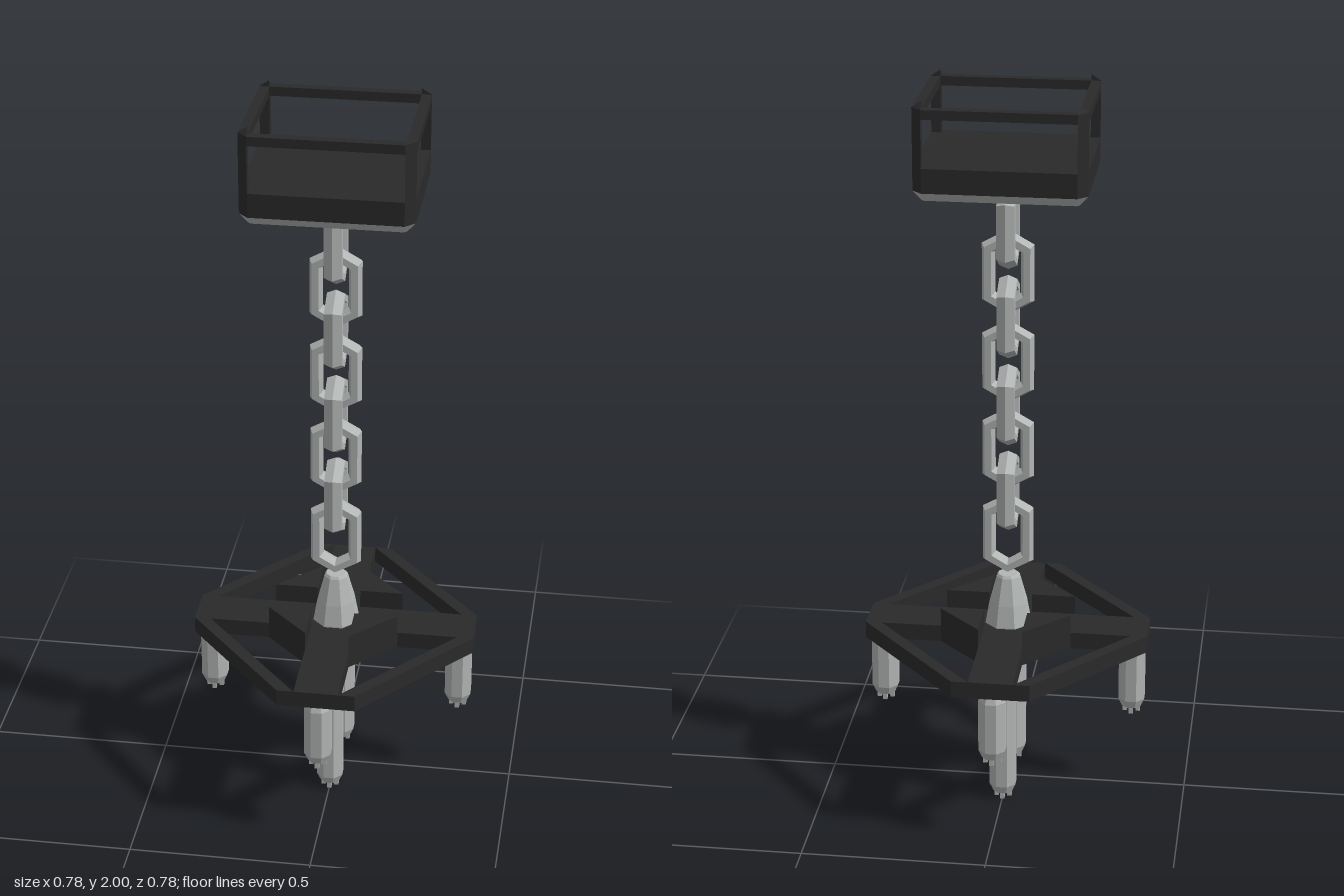
import * as THREE from 'three';

const dark = new THREE.MeshStandardMaterial({ color: 0x2a2a2a, flatShading: true });
dark.name = 'blackIron';
const grey = new THREE.MeshStandardMaterial({ color: 0xb2b6b4, flatShading: true });
grey.name = 'paleSteel';

function add(parent, name, geometry, material, x = 0, y = 0, z = 0) {
  const mesh = new THREE.Mesh(geometry, material);
  mesh.name = name;
  mesh.position.set(x, y, z);
  parent.add(mesh);
  return mesh;
}

function fromTriangles(points) {
  const g = new THREE.BufferGeometry().setFromPoints(points);
  g.computeVertexNormals();
  return g;
}

// Solid between a bottom and a top outline of [x, z] or [x, z, y] corners
function loft(bottom, y0, y1, top = bottom) {
  let a = bottom.map(([x, z, y = y0]) => new THREE.Vector3(x, top === bottom ? y0 : y, z));
  let b = top.map(([x, z, y = y1]) => new THREE.Vector3(x, y, z));
  const n = a.length;
  let area = 0;
  for (let i = 0; i < n; i++) {
    const p = a[i], q = a[(i + 1) % n];
    area += p.x * q.z - q.x * p.z;
  }
  if (area > 0) { a = a.reverse(); b = b.reverse(); }
  const t = [];
  for (let i = 0; i < n; i++) {
    const k = (i + 1) % n;
    t.push(a[i], a[k], b[k], a[i], b[k], b[i]);
    if (i > 0 && i < n - 1) t.push(b[0], b[i], b[k], a[0], a[k], a[i]);
  }
  return fromTriangles(t);
}

// Rectangle with cut corners
function cutRect(w, d, c) {
  return [[w, d - c], [w - c, d], [c - w, d], [-w, d - c],
    [-w, c - d], [c - w, -d], [w - c, -d], [w, c - d]];
}

// Long hexagonal chain link with a bevelled bar
function linkGeometry() {
  const hex = (w, s, h) => [[w, -s], [w, s], [0, h], [-w, s], [-w, -s], [0, -h]];
  const outer = hex(0.07, 0.078, 0.117), inner = hex(0.034, 0.056, 0.077);
  const section = [[0, 0], [0.25, 0.024], [0.75, 0.024], [1, 0], [0.75, -0.024], [0.25, -0.024]];
  const at = (i, j) => {
    const o = outer[i % 6], n = inner[i % 6], [u, z] = section[j % 6];
    return new THREE.Vector3(n[0] + (o[0] - n[0]) * u, n[1] + (o[1] - n[1]) * u, z);
  };
  const t = [];
  for (let i = 0; i < 6; i++) {
    for (let j = 0; j < 6; j++) {
      const a = at(i, j), b = at(i + 1, j), c = at(i + 1, j + 1), d = at(i, j + 1);
      t.push(a, d, c, a, c, b);
    }
  }
  return fromTriangles(t);
}

// Eight-sided turned part with flats facing the axes
function turned(profile) {
  const k = 1 / Math.cos(Math.PI / 8);
  const pts = profile.map(([r, y]) => new THREE.Vector2(r * k, y));
  return new THREE.LatheGeometry(pts, 8, Math.PI / 8);
}

// Hanging rod with a neck and four small prongs below
function hangingRod(bottom, shoulder, x, z) {
  const rod = new THREE.Group();
  rod.name = 'hangingRod';
  rod.position.set(x, bottom, z);
  const h = shoulder - bottom;
  add(rod, 'rodBody', turned([[0, 0.018], [0.026, 0.018], [0.036, 0.042],
    [0.036, h - 0.022], [0.027, h], [0, h]]), grey);
  if (shoulder < 0.44) {
    add(rod, 'rodNeck', new THREE.CylinderGeometry(0.011, 0.011, 0.05, 8), grey, 0, h + 0.015, 0);
  }
  for (const [px, pz] of [[1, 0], [-1, 0], [0, 1], [0, -1]]) {
    add(rod, 'rodProng', new THREE.BoxGeometry(0.012, 0.024, 0.012), grey, px * 0.018, 0.012, pz * 0.018);
  }
  return rod;
}

export function createModel() {
  const model = new THREE.Group();
  model.name = 'hangingChainFrame';

  // Upper open cage
  const W = 0.225, D = 0.189, C = 0.026;
  const cage = new THREE.Group();
  cage.name = 'upperCage';
  cage.position.z = -0.004;
  model.add(cage);
  add(cage, 'cageTray', loft(cutRect(W, D, C), 1.765, 1.83), dark);
  add(cage, 'cageUnderside', loft(cutRect(W - 0.022, D - 0.022, 0.008), 1.74, 1.765, cutRect(W, D, C)), grey);
  for (const sx of [-1, 1]) {
    for (const sz of [-1, 1]) {
      const foot = [[sx * W, sz * (D - C)], [sx * (W - C), sz * D], [sx * (W - C), sz * (D - C)]];
      const tip = foot.map(([x, z], i) => [x, z, i === 2 ? 2 : 1.983]);
      add(cage, 'cagePost', loft(foot, 1.82, 1.98, tip), dark);
    }
    add(cage, 'cageSideRail', new THREE.BoxGeometry(C, 0.025, 2 * (D - C)), dark, sx * (W - C / 2), 1.97, 0);
    add(cage, 'cageLongRail', new THREE.BoxGeometry(2 * (W - C), 0.025, C), dark, 0, 1.97, sx * (D - C / 2));
  }

  // Chain of eight links, each turned a quarter from the last
  const chain = new THREE.Group();
  chain.name = 'chain';
  model.add(chain);
  const link = linkGeometry();
  for (let i = 0; i < 8; i++) {
    add(chain, 'chainLink', link, grey, 0, 0.752 + i * 0.125, 0).rotation.y = (i % 2) * Math.PI / 2;
  }

  // Tapered chain mount
  add(model, 'chainMount', turned([[0, 0.47], [0.06, 0.47], [0.06, 0.49], [0.05, 0.55],
    [0.031, 0.625], [0.026, 0.632], [0, 0.632]]), grey);

  // Lower cross frame
  const frame = new THREE.Group();
  frame.name = 'lowerFrame';
  model.add(frame);
  const y0 = 0.44, y1 = 0.487, A = 0.06, R = 0.39;
  add(frame, 'crossArm', loft([[-R, -A], [R, -A], [R, A], [-R, A]], y0, y1), dark);
  for (const s of [-1, 1]) {
    add(frame, 'crossArm', loft([[-A, s * A], [A, s * A], [A, s * R], [-A, s * R]], y0, y1), dark);
    for (const t of [-1, 1]) {
      const corner = (pts) => pts.map(([x, z]) => [x * s, z * t]);
      add(frame, 'rimBar', loft(corner([[R, A], [0.345, A], [A, R], [0.105, R]]), y0, y1), dark);
      add(frame, 'hubGusset', loft(corner([[A, A], [0.18, A], [A, 0.18]]), y0, 0.54), dark);
    }
  }

  // Short rods at the arm ends, long rods nearer the middle
  for (const s of [-1, 1]) {
    model.add(hangingRod(0.23, 0.44, s * 0.347, 0));
    model.add(hangingRod(0.23, 0.44, 0, s * 0.347));
    model.add(hangingRod(0, 0.41, 0, s * 0.115));
  }
  return model;
}
